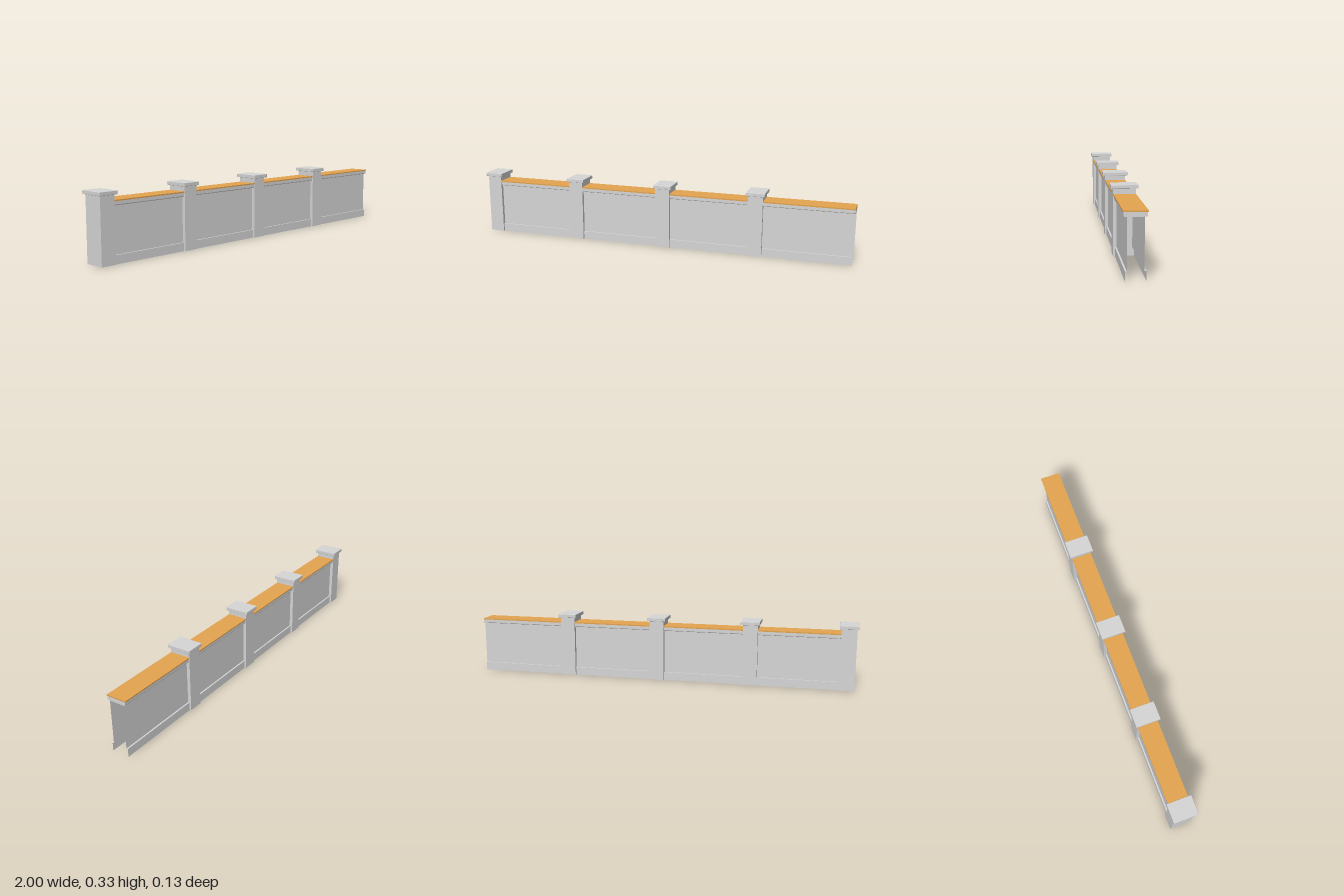
import * as THREE from 'three';
import { RoundedBoxGeometry } from 'three/addons/geometries/RoundedBoxGeometry.js';

const START = -0.952, END = 1, LENGTH = END - START, MIDDLE = (START + END) / 2;

export function createModel() {
  const wall = new THREE.Group();
  wall.name = 'wall';
  const stone = new THREE.MeshStandardMaterial({ color: 0xd6d6d6, side: THREE.DoubleSide });
  stone.name = 'grey stone';
  const wood = new THREE.MeshStandardMaterial({ color: 0xe4a44f });
  wood.name = 'wood';

  const add = (parent, name, geometry, material, x = 0, y = 0, z = 0) => {
    const mesh = new THREE.Mesh(geometry, material);
    mesh.name = name;
    mesh.position.set(x, y, z);
    parent.add(mesh);
  };

  // Wooden coping, just inside the faces of the posts
  add(wall, 'woodenCoping', new THREE.BoxGeometry(LENGTH, 0.006, 0.104), wood, MIDDLE, 0.2865);

  // Stone rail with rounded lower edges, run along the wall
  const w = 0.049, low = 0.264, high = 0.2835, r = 0.005;
  const rail = new THREE.Shape();
  rail.moveTo(-w, high);
  rail.lineTo(-w, low + r);
  rail.quadraticCurveTo(-w, low, -w + r, low);
  rail.lineTo(w - r, low);
  rail.quadraticCurveTo(w, low, w, low + r);
  rail.lineTo(w, high);
  const railGeometry = new THREE.ExtrudeGeometry(rail, { depth: LENGTH, bevelEnabled: false, curveSegments: 4 });
  add(wall, 'rail', railGeometry.rotateY(Math.PI / 2), stone, START);

  // Each side is a thin panel above a plinth board with a narrow ledge, open at the end and below
  const panelZ = 0.036, plinthZ = 0.044, plinthTop = 0.042;
  const sheet = (height) => new THREE.PlaneGeometry(LENGTH, height);
  for (const [name, turn] of [['front', 0], ['back', Math.PI]]) {
    const side = new THREE.Group();
    side.name = name + 'Side';
    side.position.x = MIDDLE;
    side.rotation.y = turn;
    add(side, name + 'Panel', sheet(low - plinthTop), stone, 0, (low + plinthTop) / 2, panelZ);
    add(side, name + 'Ledge', sheet(plinthZ - panelZ).rotateX(-Math.PI / 2), stone, 0, plinthTop, (panelZ + plinthZ) / 2);
    add(side, name + 'Plinth', sheet(plinthTop), stone, 0, plinthTop / 2, plinthZ);
    wall.add(side);
  }

  // Hollow posts, open underneath, with flat caps
  const shaftGeometry = new THREE.BoxGeometry(0.076, 0.3135, 0.106);
  const index = Array.from(shaftGeometry.index.array);
  index.splice(18, 6); // drop the bottom face
  shaftGeometry.setIndex(index);
  shaftGeometry.clearGroups();
  const capGeometry = new RoundedBoxGeometry(0.096, 0.018, 0.126, 2, 0.002);
  for (let i = 0; i < 4; i++) {
    const post = new THREE.Group();
    post.name = 'post' + (i + 1);
    post.position.x = START + i * 0.488;
    add(post, 'shaft', shaftGeometry, stone, 0, 0.1578);
    add(post, 'cap', capGeometry, stone, 0, 0.323);
    wall.add(post);
  }
  return wall;
}
